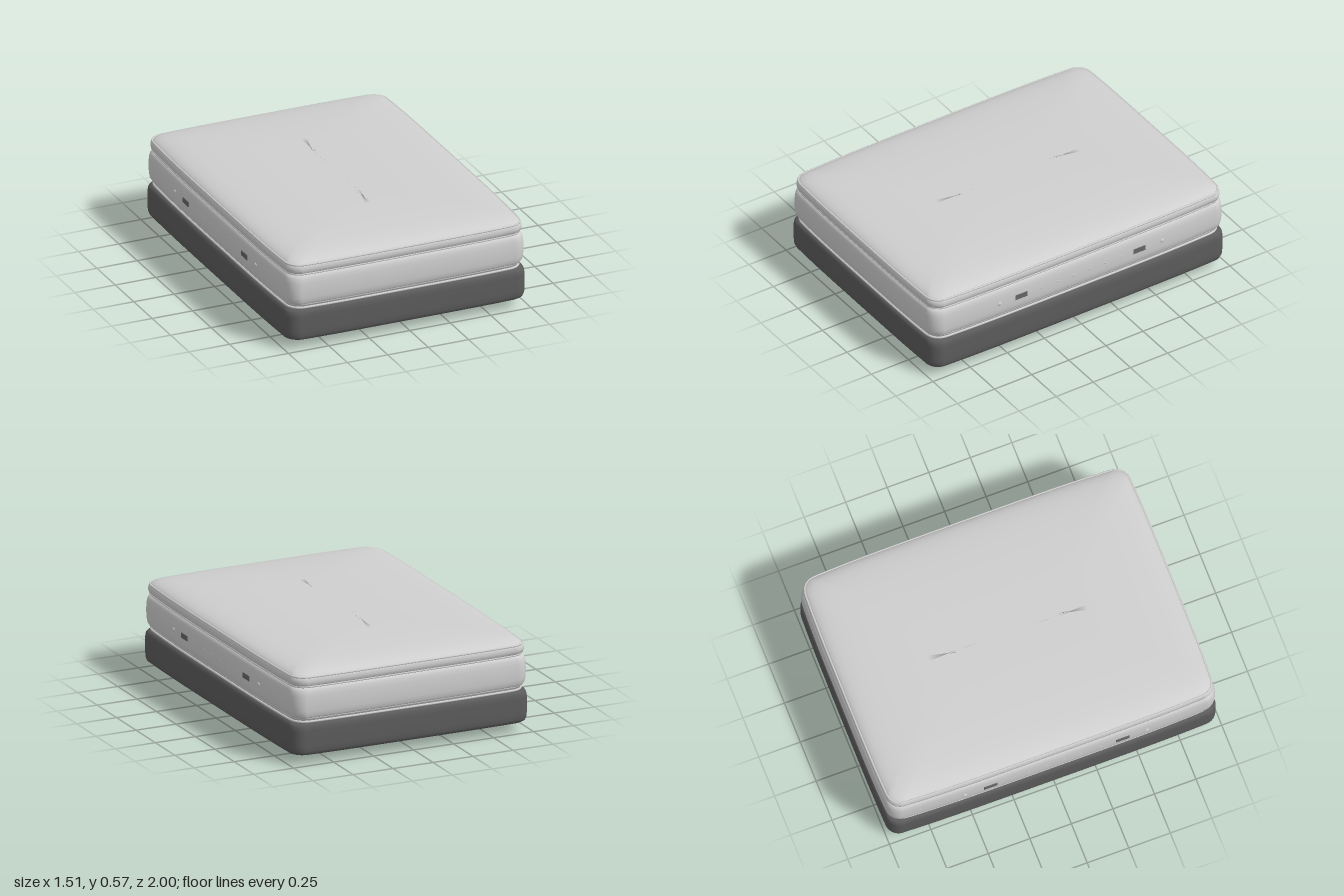
import * as THREE from 'three';

// Rounded rectangle outline whose sides bow gently outwards
function outline(hx, hz, r, bowX = 0.018, bowZ = 0.014) {
  const pts = [], corner = 7, side = 12;
  r = Math.min(r, hx * 0.9, hz * 0.9);
  const corners = [[1, 1], [-1, 1], [-1, -1], [1, -1]];
  const at = (k, i) => {
    const [sx, sz] = corners[k % 4];
    const a = (k + i / corner) * Math.PI / 2;
    return new THREE.Vector2(sx * (hx - r) + r * Math.cos(a), sz * (hz - r) + r * Math.sin(a));
  };
  for (let k = 0; k < 4; k++) {
    for (let i = 0; i <= corner; i++) pts.push(at(k, i));
    const from = at(k, corner), to = at(k + 1, 0);
    for (let i = 1; i < side; i++) pts.push(from.clone().lerp(to, i / side));
  }
  return pts.map(({ x, y: z }) => new THREE.Vector2(
    x - Math.sign(x) * Math.min(bowX, hx * 0.1) * (z / hz) ** 4,
    z - Math.sign(z) * Math.min(bowZ, hz * 0.1) * (x / hx) ** 4));
}

// Closed cushion from stacked outlines; each section is [y, inset]
function cushion(hx, hz, r, sections, bowX, bowZ) {
  const pos = [], index = [];
  const rings = sections.map(([y, d]) => outline(hx - d, hz - d, r, bowX, bowZ));
  const n = rings[0].length;
  rings.forEach((ring, j) => ring.forEach(p => pos.push(p.x, sections[j][0], p.y)));
  for (let j = 0; j < rings.length - 1; j++) {
    for (let i = 0; i < n; i++) {
      const a = j * n + i, b = j * n + (i + 1) % n;
      index.push(a, a + n, b, b, a + n, b + n);
    }
  }
  const last = (rings.length - 1) * n, bottom = rings.length * n;
  pos.push(0, sections[0][0], 0, 0, sections[sections.length - 1][0], 0);
  for (let i = 0; i < n; i++) {
    const k = (i + 1) % n;
    index.push(bottom, i, k, bottom + 1, last + k, last + i);
  }
  const geo = new THREE.BufferGeometry();
  geo.setAttribute('position', new THREE.Float32BufferAttribute(pos, 3));
  geo.setIndex(index);
  geo.computeVertexNormals();
  return geo;
}

// Cord running around the outline at height y
function cord(hx, hz, y, radius) {
  const pts = outline(hx, hz, 0.07).map(p => new THREE.Vector3(p.x, y, p.y));
  return new THREE.TubeGeometry(new THREE.CatmullRomCurve3(pts, true), 240, radius, 8, true);
}

export function createModel() {
  const group = new THREE.Group();
  const mat = (name, color) => {
    const m = new THREE.MeshStandardMaterial({ color });
    m.name = name;
    return m;
  };
  const fabric = mat('light fabric', 0xcfcfcf);
  const baseFabric = mat('dark fabric', 0x5c5c5c);
  const tagGrey = mat('tag grey', 0x666666);
  const add = (name, geo, material, x = 0, y = 0, z = 0) => {
    const mesh = new THREE.Mesh(geo, material);
    mesh.name = name;
    mesh.position.set(x, y, z);
    group.add(mesh);
    return mesh;
  };

  // Box base
  add('base', cushion(0.75, 0.998, 0.07, [
    [0.054, 0.06], [0.054, 0.03], [0.056, 0.018], [0.063, 0.008], [0.08, 0.002], [0.11, 0],
    [0.2, 0], [0.225, 0.003], [0.238, 0.01], [0.244, 0.022], [0.245, 0.04], [0.245, 0.08],
  ], 0.012, 0.01), baseFabric);

  // Mattress with bulging sides
  add('mattress', cushion(0.75, 1, 0.07, [
    [0.244, 0.06], [0.246, 0.035], [0.252, 0.025], [0.265, 0.02], [0.273, 0.014], [0.288, 0.006],
    [0.315, 0.002], [0.36, 0], [0.405, 0.002], [0.432, 0.006], [0.446, 0.013], [0.452, 0.022],
    [0.455, 0.04], [0.455, 0.08],
  ]), fabric);

  // Padded top layer with a crowned surface
  add('topper', cushion(0.742, 0.992, 0.07, [
    [0.454, 0.08], [0.454, 0.03], [0.458, 0.013], [0.466, 0.004], [0.485, 0], [0.502, 0.002],
    [0.511, 0.007], [0.518, 0.012], [0.526, 0.02], [0.536, 0.04], [0.545, 0.07], [0.553, 0.115],
    [0.56, 0.18], [0.566, 0.27], [0.571, 0.38], [0.574, 0.52], [0.575, 0.68],
  ]), fabric);

  // Seam cords
  add('lowerPiping', cord(0.728, 0.978, 0.25, 0.007), fabric);
  add('bottomSeam', cord(0.733, 0.983, 0.271, 0.004), fabric);
  add('middlePiping', cord(0.731, 0.981, 0.457, 0.006), fabric);
  add('upperPiping', cord(0.734, 0.984, 0.514, 0.006), fabric);

  // Side tags and air vents on both long sides
  const vents = [[0.55, 0.013], [0.27, 0.007], [0.155, 0.008], [0.055, 0.008],
    [-0.055, 0.008], [-0.16, 0.008], [-0.27, 0.007], [-0.545, 0.013]];
  for (const s of [1, -1]) {
    for (const z of [0.405, -0.39]) {
      add('sideTag', new THREE.BoxGeometry(0.008, 0.03, 0.08), tagGrey, s * 0.749, 0.36, z);
    }
    for (const [z, r] of vents) {
      const vent = add('airVent', new THREE.SphereGeometry(r, 12, 8), fabric, s * 0.748, 0.36, z);
      vent.scale.x = 0.5;
    }
  }

  // Feet
  for (const x of [-0.49, 0.49]) {
    for (const z of [0.59, -0.575]) {
      add('footStem', new THREE.CylinderGeometry(0.021, 0.021, 0.05, 20), fabric, x, 0.033, z);
      add('footPad', new THREE.CylinderGeometry(0.028, 0.033, 0.01, 20), fabric, x, 0.005, z);
    }
  }
  return group;
}
